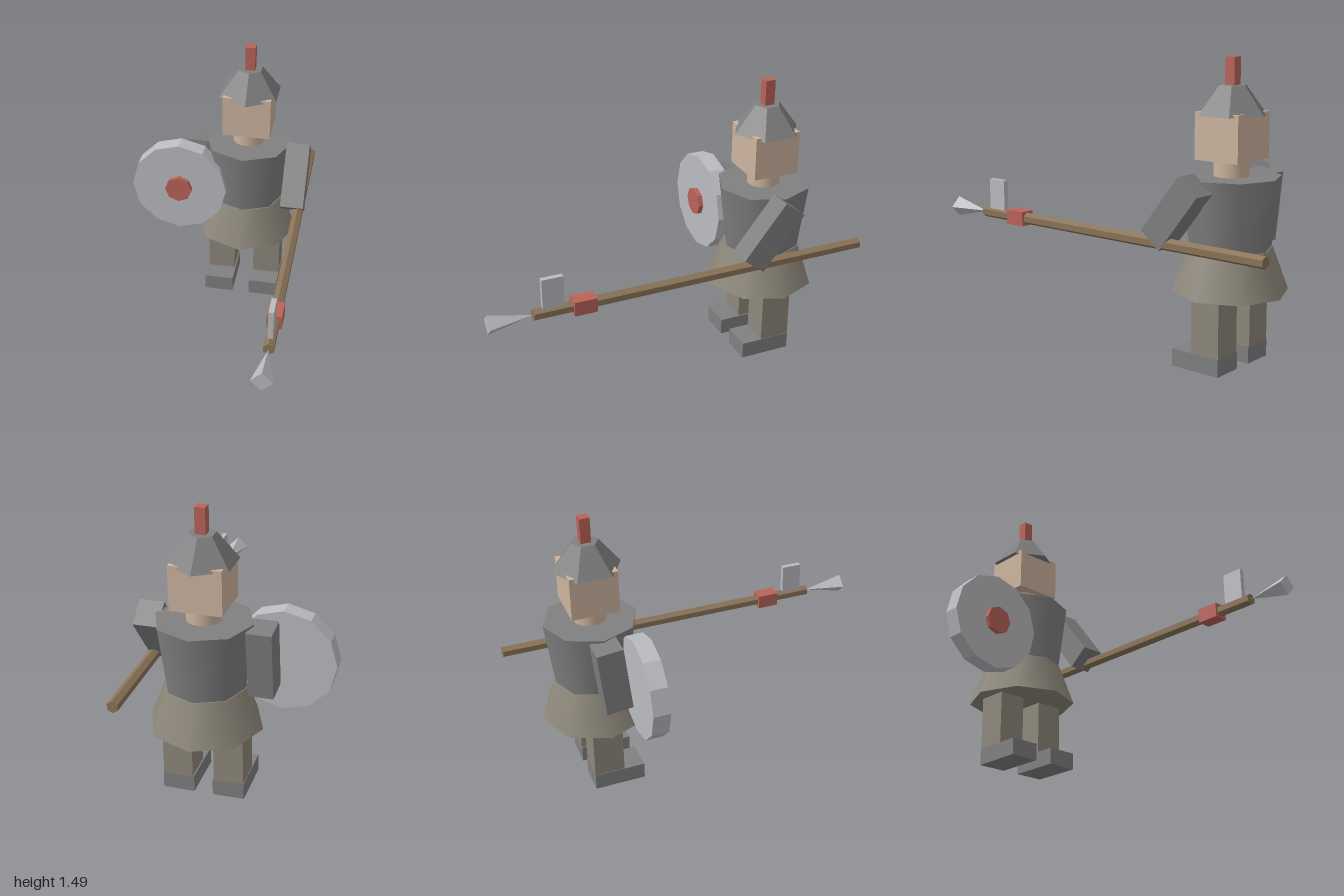
import * as THREE from 'three';

const mat = (color, flatShading = false) => new THREE.MeshStandardMaterial({ color, flatShading });
const STEEL = 0x808080, CLOTH = 0x8e887b, SKIN = 0xcdb49f, RED = 0xba6359, PALE = 0xbbbcc1, WOOD = 0x8b7458;

export function createModel() {
  const model = new THREE.Group();

  const add = (name, geometry, color, x, y, z, flat = true) => {
    const mesh = new THREE.Mesh(geometry, mat(color, flat));
    mesh.name = name;
    mesh.position.set(x, y, z);
    model.add(mesh);
    return mesh;
  };
  const box = (name, color, w, h, d, x, y, z) =>
    add(name, new THREE.BoxGeometry(w, h, d), color, x, y, z);
  // upright tapered cylinder spanning y0..y1
  const drum = (name, color, rTop, rBottom, y0, y1, sides, flat) =>
    add(name, new THREE.CylinderGeometry(rTop, rBottom, y1 - y0, sides), color, cx, (y0 + y1) / 2, cz, flat);
  // cylinder lying along z, spanning z0..z1
  const rod = (name, color, rFront, rBack, sides, x, y, z0, z1) =>
    add(name, new THREE.CylinderGeometry(rFront, rBack, z1 - z0, sides).rotateX(Math.PI / 2),
      color, x, y, (z0 + z1) / 2);

  const cx = 0.125, cz = -0.595; // body axis

  // Legs and feet
  for (const side of [-1, 1]) {
    const label = side > 0 ? 'left' : 'right';
    box(label + 'Leg', CLOTH, 0.15, 0.30, 0.16, cx + side * 0.13, 0.235, cz);
    box(label + 'Foot', STEEL, 0.16, 0.088, 0.27, cx + side * 0.128, 0.044, -0.54);
  }

  // Body
  drum('skirt', CLOTH, 0.205, 0.285, 0.37, 0.585, 8, false);
  drum('torso', STEEL, 0.243, 0.2, 0.585, 0.93, 8, false);
  drum('neck', SKIN, 0.086, 0.086, 0.92, 1.02, 16, false);
  box('head', SKIN, 0.258, 0.226, 0.246, cx, 1.122, cz);

  // Helmet
  drum('helmet', STEEL, 0.068, 0.177, 1.22, 1.36, 6, true);
  box('crest', RED, 0.052, 0.13, 0.052, cx, 1.425, cz);

  // Arms
  box('leftArm', STEEL, 0.125, 0.352, 0.137, 0.405, 0.781, -0.4825).rotation.x = -0.667;
  box('rightArm', STEEL, 0.125, 0.352, 0.137, -0.157, 0.745, -0.578).rotation.x = -0.105;

  // Shield
  rod('shield', PALE, 0.263, 0.263, 12, -0.23, 0.695, -0.48, -0.39);
  rod('shieldBoss', RED, 0.075, 0.075, 8, -0.23, 0.695, -0.40, -0.365);

  // Polearm, its tip flaring forward from a point
  const px = 0.438, py = 0.631;
  rod('shaft', WOOD, 0.03, 0.03, 6, px, py, -1, 0.78);
  rod('tip', PALE, 0.053, 0, 4, px, py, 0.78, 1);
  box('binding', RED, 0.074, 0.074, 0.115, px, py, 0.527);
  box('blade', PALE, 0.026, 0.165, 0.108, px, 0.73, 0.68);

  return model;
}
